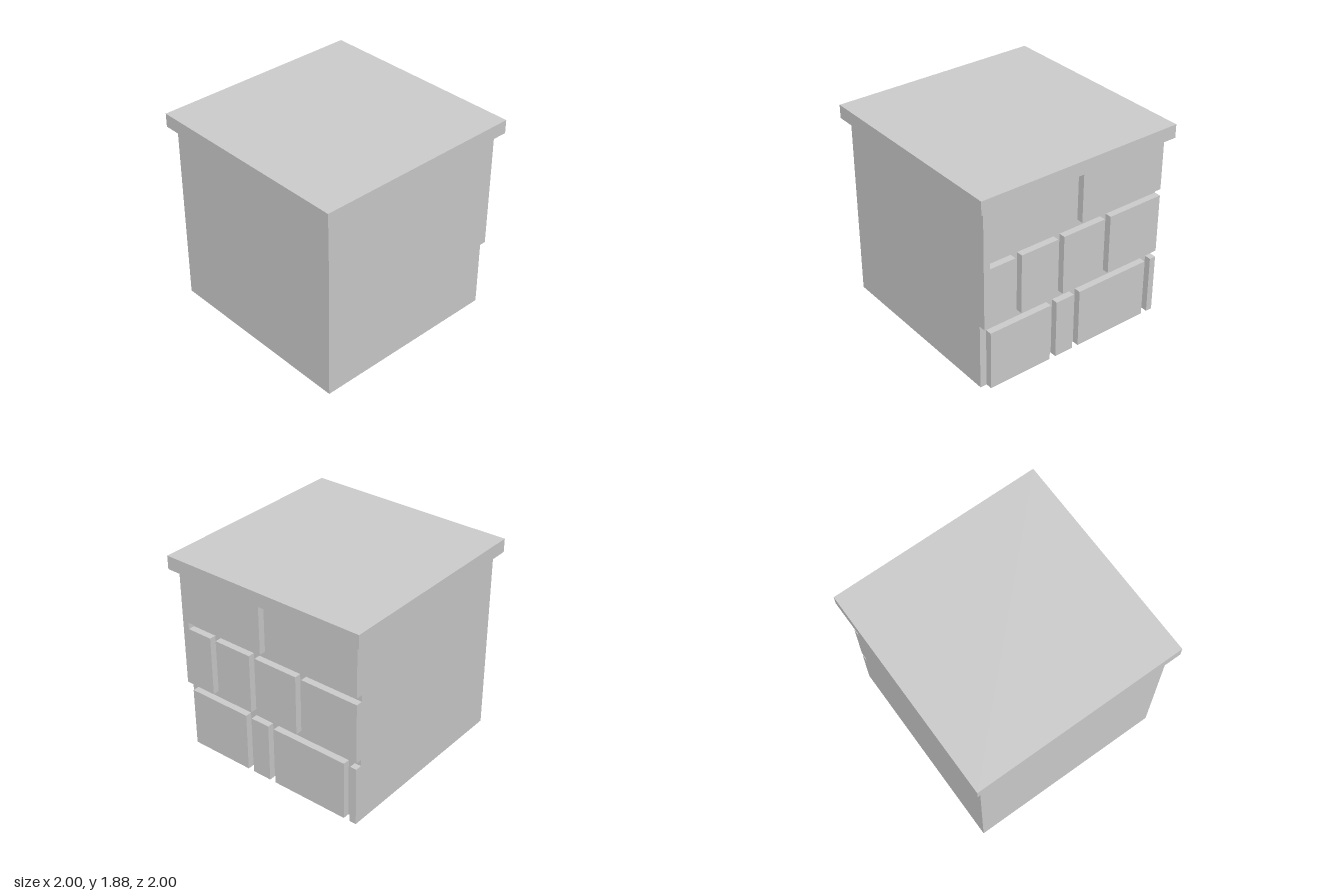
import * as THREE from 'three';

const U = 1 / 16; // modelling grid step
const stone = new THREE.MeshStandardMaterial({ color: 0xcccccc, side: THREE.DoubleSide });
stone.name = 'grey stone';

const SIDES = ['left', 'right', 'top', 'bottom', 'front', 'back'];

// Box between two grid corners that keeps only the listed sides
function shell(name, [x0, y0, z0], [x1, y1, z1], keep) {
  const g = new THREE.BoxGeometry((x1 - x0) * U, (y1 - y0) * U, (z1 - z0) * U);
  g.translate((x0 + x1) / 2 * U, (y0 + y1) / 2 * U, (z0 + z1) / 2 * U);
  const all = Array.from(g.index.array);
  g.setIndex(keep.flatMap(s => all.slice(SIDES.indexOf(s) * 6, SIDES.indexOf(s) * 6 + 6)));
  g.clearGroups();
  const mesh = new THREE.Mesh(g, stone);
  mesh.name = name;
  return mesh;
}

// Brick courses on the back: heights, then [start, end] measured from the model's left edge
const COURSES = [
  { y: [20, 28], bricks: [[0, 14], [16, 30]] },
  { y: [19, 20], bricks: [[0, 1]] },
  { y: [10, 19], bricks: [[0, 5], [6, 12], [13, 20], [21, 30]] },
  { y: [9, 10], bricks: [] },
  { y: [0, 9], bricks: [[1, 11], [12, 15], [16, 28], [29, 30]] },
];

export function createModel() {
  const model = new THREE.Group();
  model.name = 'stoneBlock';

  // Overhanging top slab
  model.add(shell('topSlab', [-16, 28, -16], [16, 30, 16], SIDES));

  // Plain walls, hollow and open underneath
  model.add(shell('walls', [-15, 0, -14], [15, 28, 15], ['left', 'right', 'front']));

  // Back wall: raised bricks with recessed mortar between them
  const backWall = new THREE.Group();
  backWall.name = 'brickBackWall';
  for (const { y: [y0, y1], bricks } of COURSES) {
    let edge = 0;
    for (const [a, b] of [...bricks, [30, 30]]) {
      if (a > edge) backWall.add(shell('mortar', [15 - a, y0, -14], [15 - edge, y1, -13], ['back']));
      if (b > a) {
        const keep = ['left', 'right', 'back'];
        if (y1 < 28) keep.push('top');
        if (y0 > 0) keep.push('bottom');
        backWall.add(shell('brick', [15 - b, y0, -15], [15 - a, y1, -14], keep));
      }
      edge = b;
    }
  }
  model.add(backWall);
  return model;
}
